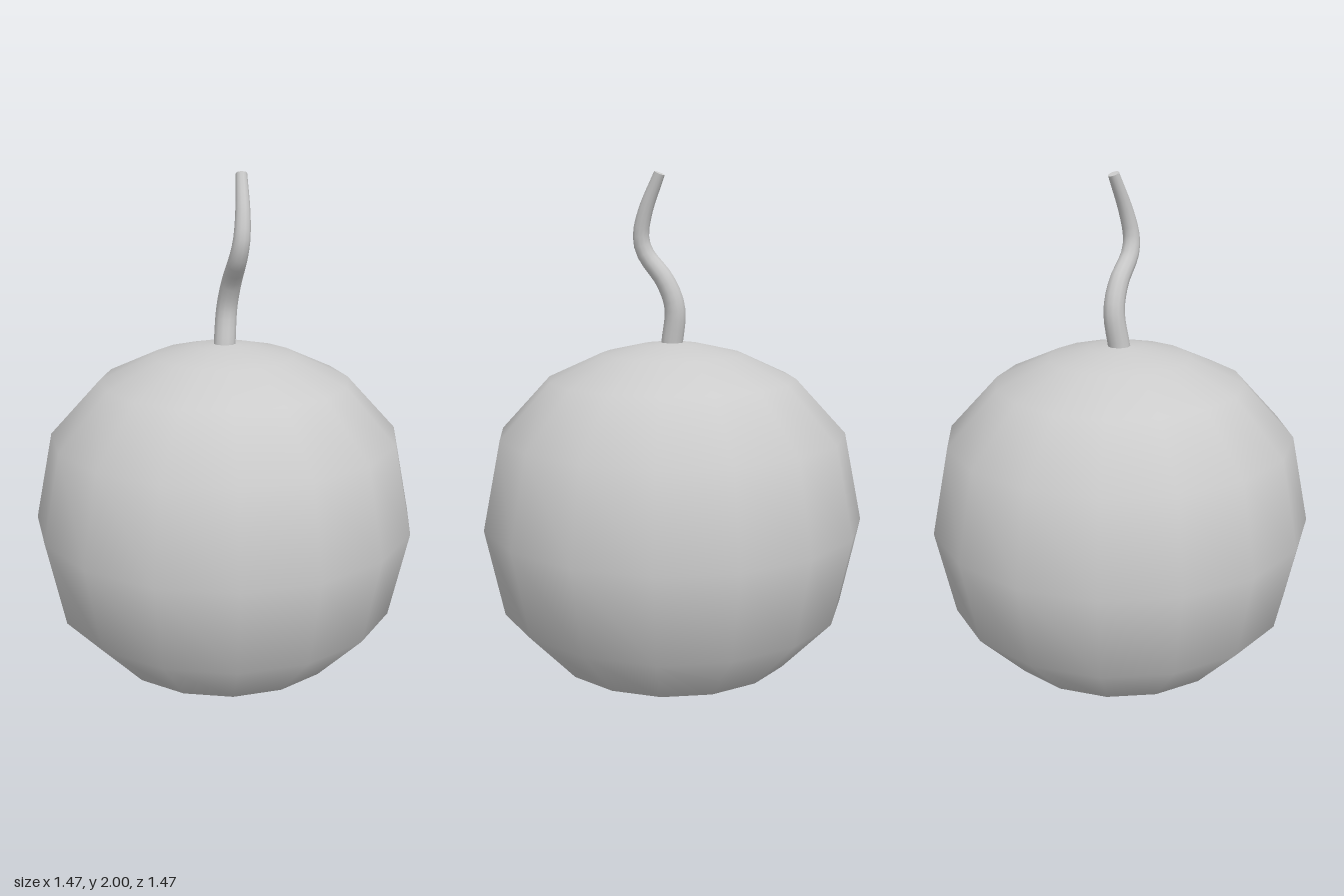
import * as THREE from 'three';

const material = () => new THREE.MeshStandardMaterial({ color: 0xcccccc });

// Round fruit: sixteen sides, flattened poles, mirrored about its equator
function makeBody() {
  const half = [[0, 0], [0.116, 0.011], [0.27, 0.046], [0.476, 0.14], [0.667, 0.347]];
  const mid = 0.686;
  const profile = [
    ...half,
    [0.737, mid],
    ...half.map(([r, y]) => [r, 2 * mid - y]).reverse(),
  ].map(([r, y]) => new THREE.Vector2(r, y));
  const mesh = new THREE.Mesh(new THREE.LatheGeometry(profile, 16), material());
  mesh.name = 'body';
  return mesh;
}

// Wavy stem: a tube whose rings shrink toward the tip
function makeStem() {
  const group = new THREE.Group();
  group.name = 'stem';
  const path = new THREE.CatmullRomCurve3([
    [0, 1.355, 0], [-0.006, 1.5, -0.02], [0.028, 1.6, -0.007],
    [0.093, 1.7, 0.03], [0.11, 1.76, 0.033], [0.1, 1.85, 0.015], [0.056, 1.991, -0.028],
  ].map((p) => new THREE.Vector3(...p)));
  const steps = 20, sides = 12, baseR = 0.042, tipR = 0.021;
  const tube = new THREE.TubeGeometry(path, steps, baseR, sides);
  const pos = tube.attributes.position;
  const v = new THREE.Vector3();
  for (let i = 0; i < pos.count; i++) {
    const t = Math.floor(i / (sides + 1)) / steps;
    const centre = path.getPointAt(t);
    const scale = 1 + (tipR / baseR - 1) * t ** 1.6;
    v.fromBufferAttribute(pos, i).sub(centre).multiplyScalar(scale).add(centre);
    pos.setXYZ(i, v.x, v.y, v.z);
  }
  const stalk = new THREE.Mesh(tube, material());
  stalk.name = 'stalk';
  group.add(stalk);

  // Flat cut ends
  for (const [name, t, r, dir] of [['stemTip', 1, tipR, 1], ['stemBase', 0, baseR, -1]]) {
    const cap = new THREE.Mesh(new THREE.CircleGeometry(r, sides), material());
    cap.name = name;
    cap.position.copy(path.getPointAt(t));
    cap.quaternion.setFromUnitVectors(
      new THREE.Vector3(0, 0, 1), path.getTangentAt(t).multiplyScalar(dir));
    group.add(cap);
  }
  return group;
}

export function createModel() {
  const model = new THREE.Group();
  model.name = 'roundFruit';
  model.add(makeBody(), makeStem());
  return model;
}
